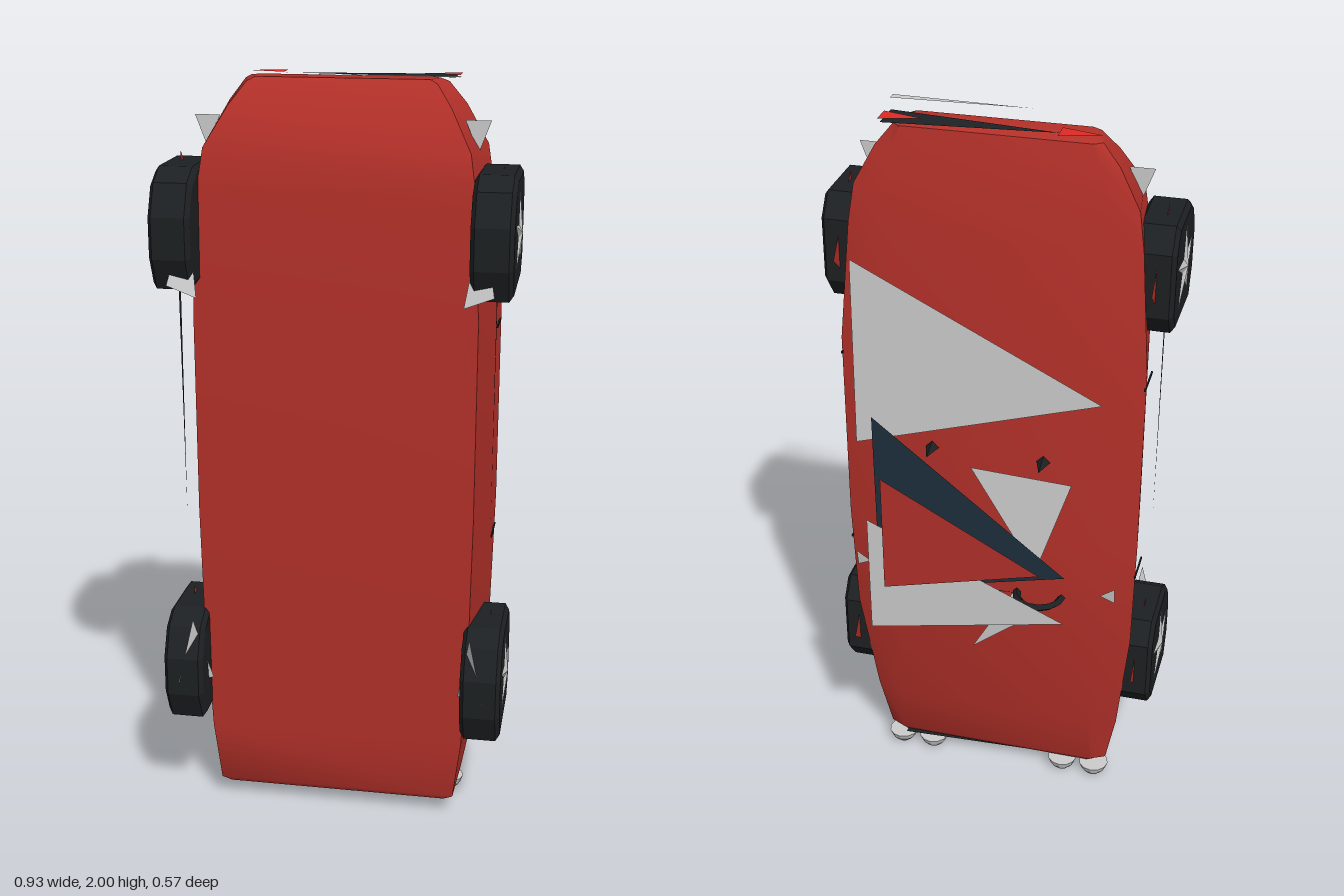
import * as THREE from 'three';
import { toCreasedNormals } from 'three/addons/utils/BufferGeometryUtils.js';

const paint = (color, extra = {}) => new THREE.MeshStandardMaterial({ color, ...extra });
const both = { side: THREE.DoubleSide };
const red = paint(0xb33029), redPanel = paint(0xb33029, both), lampRed = paint(0xe02a24, both);
const rubber = paint(0x1d2022, { flatShading: true }), dark = paint(0x1d2224, both);
const glass = paint(0x1e3040, both), grey = paint(0xcccccc, both);

// Lofted shell from cross-sections [y, zBelly, zShoulder, zDeck, wBelly, wShoulder, wDeck]
function bodyGeometry() {
  const sections = [
    [0.045, 0.165, 0.02, 0.0, 0.30, 0.31, 0.28],
    [0.06, 0.175, 0.01, -0.01, 0.325, 0.33, 0.29],
    [0.22, 0.177, -0.01, -0.037, 0.345, 0.36, 0.28],
    [0.55, 0.186, -0.05, -0.09, 0.36, 0.395, 0.24],
    [0.87, 0.19, -0.06, -0.106, 0.365, 0.402, 0.2],
    [1.40, 0.19, -0.055, -0.082, 0.365, 0.402, 0.24],
    [1.72, 0.18, -0.035, -0.052, 0.35, 0.375, 0.28],
    [1.82, 0.17, -0.025, -0.04, 0.335, 0.36, 0.28],
    [1.92, 0.115, -0.01, -0.025, 0.28, 0.305, 0.26],
    [1.975, 0.08, 0.0, -0.015, 0.24, 0.26, 0.24],
    [1.985, 0.07, 0.02, 0.0, 0.22, 0.24, 0.22],
  ];
  const pos = [], index = [], n = 6;
  for (const [y, zb, zs, zt, wb, ws, wt] of sections) {
    const half = [[wb, zb], [ws, zs], [wt, zt]];
    half.forEach(([x, z]) => pos.push(x, y, z));
    half.reverse().forEach(([x, z]) => pos.push(-x, y, z));
  }
  const last = (sections.length - 1) * n;
  for (let i = 0; i < last; i += n) {
    for (let j = 0; j < n; j++) {
      const k = (j + 1) % n;
      index.push(i + j, i + k, i + n + j, i + k, i + n + k, i + n + j);
    }
  }
  for (let j = 1; j < n - 1; j++) index.push(0, j + 1, j, last, last + j, last + j + 1);
  const g = new THREE.BufferGeometry();
  g.setAttribute('position', new THREE.Float32BufferAttribute(pos, 3));
  g.setIndex(index);
  return toCreasedNormals(g, 0.6);
}

export function createModel() {
  const group = new THREE.Group();
  const add = (name, geometry, material, parent = group) => {
    const m = new THREE.Mesh(geometry, material);
    m.name = name;
    parent.add(m);
    return m;
  };
  // A single flat triangular sheet
  const sheet = (name, material, ...corners) => {
    const g = new THREE.BufferGeometry();
    g.setAttribute('position', new THREE.Float32BufferAttribute(corners.flat(), 3));
    g.computeVertexNormals();
    return add(name, g, material);
  };

  add('body', bodyGeometry(), red);

  // Wheels: uneven low-poly tyre with a five-armed rim
  const outline = [[0.122, 0.117], [0.064, 0.15], [-0.106, 0.15], [-0.15, 0.09], [-0.15, -0.08],
    [-0.106, -0.138], [0.122, -0.15], [0.159, -0.069], [0.159, 0.037]];
  const tyre = new THREE.ExtrudeGeometry(
    new THREE.Shape(outline.map(([z, y]) => new THREE.Vector2(-z, y))),
    { depth: 0.085, bevelEnabled: true, bevelThickness: 0.011, bevelSize: 0.015, bevelOffset: -0.015, bevelSegments: 1 });
  tyre.rotateY(Math.PI / 2);
  tyre.translate(-0.042, 0, 0);
  const spoke = new THREE.ConeGeometry(0.022, 0.115, 4);
  spoke.translate(0, 0.055, 0);
  const rimMaterial = paint(0xcccccc, { flatShading: true });
  for (const side of [1, -1]) {
    for (const [name, y] of [['rearWheel', 1.625], ['frontWheel', 0.43]]) {
      const wheel = new THREE.Group();
      wheel.name = name;
      wheel.position.set(side * 0.4, y, 0.124);
      group.add(wheel);
      add('tyre', tyre, rubber, wheel);
      for (let i = 0; i < 5; i++) {
        const arm = add('spoke', spoke, rimMaterial, wheel);
        arm.position.x = side * 0.053;
        arm.rotation.x = i * Math.PI * 0.4;
        arm.scale.x = 0.45;
      }
    }

    // Shields on the inner side of the wheels
    const s = side;
    sheet('rearWheelShield', grey, [s * 0.37, 1.68, 0.2], [s * 0.41, 1.49, 0.275], [s * 0.335, 1.46, 0.27]);
    sheet('frontWheelShield', grey, [s * 0.37, 0.58, 0.27], [s * 0.41, 0.4, 0.285], [s * 0.335, 0.38, 0.2]);
    sheet('rearCornerLight', grey, [s * 0.375, 1.89, 0.08], [s * 0.31, 1.89, 0.08], [s * 0.345, 1.81, 0.08]);

    // Wheel arches and sill strips
    for (const y of [1.625, 0.43]) {
      sheet('wheelArch', redPanel, [s * 0.41, y + 0.175, 0.1], [s * 0.41, y - 0.17, 0.12], [s * 0.405, y, -0.075]);
    }
    sheet('sillStrip', dark, [s * 0.407, 1.47, 0.17], [s * 0.407, 1.47, 0.15], [s * 0.407, 0.85, 0.157]);

    // Door seams
    for (const y of [1.36, 0.78]) {
      add('doorSeam', new THREE.BoxGeometry(0.004, 0.006, 0.1), dark).position.set(s * 0.4, y, -0.015);
    }

    // Paired headlamps
    for (const x of [0.2, 0.295]) {
      const lamp = add('headlamp', new THREE.CylinderGeometry(0.043, 0.036, 0.018, 12), rimMaterial);
      lamp.position.set(s * x, 0.026, 0.01);
      const lens = add('headlampLens', new THREE.CylinderGeometry(0.036, 0.024, 0.014, 12), grey);
      lens.position.set(s * x, 0.009, 0.01);
    }

    // Mirrors and seat posts
    sheet('mirror', grey, [s * 0.32, 0.76, -0.14], [s * 0.36, 0.79, -0.143], [s * 0.36, 0.74, -0.135]);
    const post = add('seatPost', new THREE.ConeGeometry(0.018, 0.055, 4), rubber);
    post.rotation.x = -Math.PI / 2;
    post.position.set(s * 0.15, 1.13, -0.125);
  }

  // Deck and cabin panes
  sheet('rearDeckPane', grey, [0.36, 1.64, -0.085], [0.36, 1.115, -0.1], [-0.3, 1.32, -0.1]);
  sheet('rearWindow', grey, [0.03, 1.12, -0.155], [-0.23, 1.08, -0.115], [-0.14, 0.8, -0.13]);
  sheet('windscreen', grey, [0.28, 0.99, -0.272], [0.28, 0.64, -0.272], [-0.25, 0.75, -0.272]);
  sheet('cabinGlass', glass, [0.28, 1.26, -0.2], [-0.25, 0.9, -0.275], [0.28, 0.71, -0.19]);
  sheet('roof', redPanel, [0.235, 1.13, -0.283], [0.235, 0.79, -0.283], [-0.185, 0.9, -0.283]);
  sheet('cowlPane', grey, [0.04, 0.5, -0.115], [-0.08, 0.72, -0.125], [-0.13, 0.64, -0.12]);
  sheet('dashboard', dark, [0.275, 0.72, -0.145], [0.275, 0.715, -0.12], [-0.1, 0.72, -0.13]);

  // Steering wheel: half ring rising from the deck
  const ring = add('steeringWheel', new THREE.TorusGeometry(0.062, 0.011, 4, 7, Math.PI), rubber);
  ring.rotation.x = -Math.PI / 2;
  ring.position.set(-0.15, 0.72, -0.12);

  // Tail panel, tail lamps and plate
  sheet('tailPanel', dark, [-0.155, 1.989, 0], [0.28, 1.989, 0.05], [0.28, 1.989, -0.04]);
  for (const x of [-0.26, 0.185]) {
    sheet('tailLamp', lampRed, [x, 1.993, 0], [x + 0.105, 1.993, 0.027], [x + 0.105, 1.993, -0.03]);
  }
  sheet('tailPlate', grey, [-0.06, 1.998, 0.12], [0.3, 1.998, 0.13], [0.3, 1.998, 0.105]);

  // Nose grille and bumper
  sheet('grille', dark, [0.28, 0.04, 0.04], [0.28, 0.04, -0.01], [-0.2, 0.04, 0.01]);
  sheet('bumper', redPanel, [0.29, 0.03, 0.1], [0.29, 0.03, 0.14], [-0.07, 0.025, 0.12]);
  return group;
}
